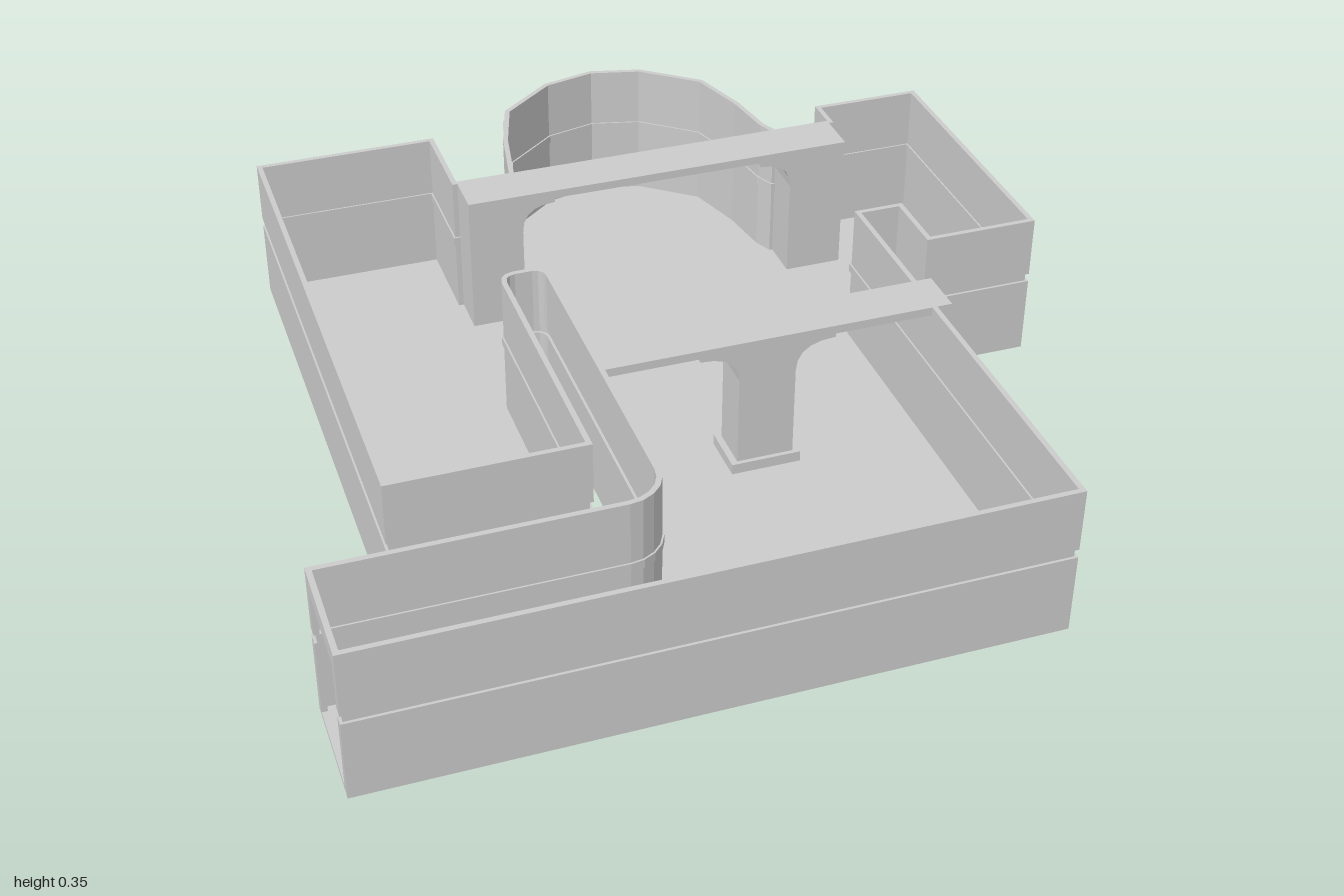
import * as THREE from 'three';

const material = new THREE.MeshStandardMaterial({ color: 0xcccccc, flatShading: true, side: THREE.DoubleSide });

// Quarter-turn corner around a centre, as plan points [x, z]
function corner(cx, cz, r, from, to, steps = 5) {
  return Array.from({ length: steps + 1 }, (_, i) => {
    const a = from + ((to - from) * i) / steps;
    return [cx + r * Math.cos(a), cz + r * Math.sin(a)];
  });
}

// Apse plan, left to right
const apse = [
  [-0.17, -0.55], [-0.14, -0.71], [-0.095, -0.855], [0.04, -0.963], [0.17, -0.994],
  [0.295, -0.963], [0.43, -0.855], [0.475, -0.71], [0.495, -0.585], [0.51, -0.55],
];

// Outer plan, from one doorway jamb clockwise round to the other
const plan = [
  [-0.925, 1 - 0.025], [-0.925, 1], [0.555, 1], [0.555, -0.11], [0.65, -0.11], [0.65, 0.05],
  [0.92, 0.05], [0.92, -0.63], [0.65, -0.63], [0.65, -0.55],
  ...apse.slice().reverse(),
  [-0.3, -0.55], [-0.3, -0.775], [-0.735, -0.775], [-0.735, 0.55], [-0.305, 0.55],
  ...corner(-0.28, -0.085, 0.025, Math.PI, Math.PI * 1.5, 3),
  ...corner(-0.24, -0.085, 0.025, -Math.PI / 2, 0, 3),
  ...corner(-0.295, 0.665, 0.08, 0, Math.PI / 2),
  [-0.925, 0.745], [-0.925, 0.77],
].reverse();

// Moves an open path sideways (positive = into the rooms) with mitred corners
function offset(path, d) {
  const normal = (a, b) => {
    const dx = b[0] - a[0], dz = b[1] - a[1], l = Math.hypot(dx, dz);
    return [-dz / l, dx / l];
  };
  return path.map((p, i) => {
    const n1 = i > 0 ? normal(path[i - 1], p) : normal(p, path[1]);
    const n2 = i < path.length - 1 ? normal(p, path[i + 1]) : n1;
    const k = d / (1 + n1[0] * n2[0] + n1[1] * n2[1]);
    return [p[0] + (n1[0] + n2[0]) * k, p[1] + (n1[1] + n2[1]) * k];
  });
}

// Extrudes a plan polygon between two heights
function slab(points, y0, y1) {
  const shape = new THREE.Shape(points.map(([x, z]) => new THREE.Vector2(x, -z)));
  const g = new THREE.ExtrudeGeometry(shape, { depth: y1 - y0, bevelEnabled: false });
  return g.rotateX(-Math.PI / 2).translate(0, y0, 0);
}

// Wall band following a path
function band(path, outer, inner, y0, y1) {
  return slab([...offset(path, outer), ...offset(path, inner).reverse()], y0, y1);
}

// Box given by its limits
function box(x0, x1, y0, y1, z0, z1) {
  return new THREE.BoxGeometry(x1 - x0, y1 - y0, z1 - z0)
    .translate((x0 + x1) / 2, (y0 + y1) / 2, (z0 + z1) / 2);
}

// Pier with curved brackets of given reach on its left and right
function pier(x0, x1, z0, z1, left, right) {
  const top = 0.33, spring = 0.25;
  const s = new THREE.Shape();
  s.moveTo(x0, 0.01);
  s.lineTo(x1, 0.01);
  s.lineTo(x1, spring);
  if (right) s.quadraticCurveTo(x1, top - 0.012, x1 + right, top - 0.012);
  s.lineTo(x1 + right, top);
  s.lineTo(x0 - left, top);
  if (left) {
    s.lineTo(x0 - left, top - 0.012);
    s.quadraticCurveTo(x0, top - 0.012, x0, spring);
  }
  s.closePath();
  return new THREE.ExtrudeGeometry(s, { depth: z1 - z0, bevelEnabled: false, curveSegments: 5 })
    .translate(0, 0, z0);
}

export function createModel() {
  const group = new THREE.Group();
  const add = (name, geometry) => {
    const mesh = new THREE.Mesh(geometry, material);
    mesh.name = name;
    group.add(mesh);
  };

  add('floor', slab(plan, 0, 0.01));

  // Walls with a shallow groove at mid height
  add('lowerWall', band(plan, 0, 0.012, 0.01, 0.185));
  add('wallGroove', band(plan, 0.006, 0.016, 0.185, 0.205));
  add('upperWall', band(plan, 0, 0.012, 0.205, 0.35));
  add('apseBand', band(apse.slice(2, 7), -0.006, 0.004, 0.205, 0.32));

  // Lintel over the corridor doorway
  add('doorLintel', box(-0.925, -0.913, 0.31, 0.35, 0.765, 0.98));

  // Hall beam on its central pillar
  add('hallBeam', box(-0.215, 0.59, 0.33, 0.35, 0.2, 0.31));
  add('hallPillar', pier(0.1, 0.23, 0.205, 0.305, 0.09, 0.09));
  add('hallPillarBase', box(0.085, 0.245, 0.01, 0.035, 0.195, 0.315));

  // Beam before the apse, on a pier at each side
  add('apseBeam', box(-0.3, 0.65, 0.33, 0.35, -0.549, -0.435));
  add('apsePierRight', pier(-0.3, -0.17, -0.548, -0.437, 0, 0.08));
  add('apsePierLeft', pier(0.51, 0.65, -0.548, -0.437, 0.08, 0));

  return group;
}
